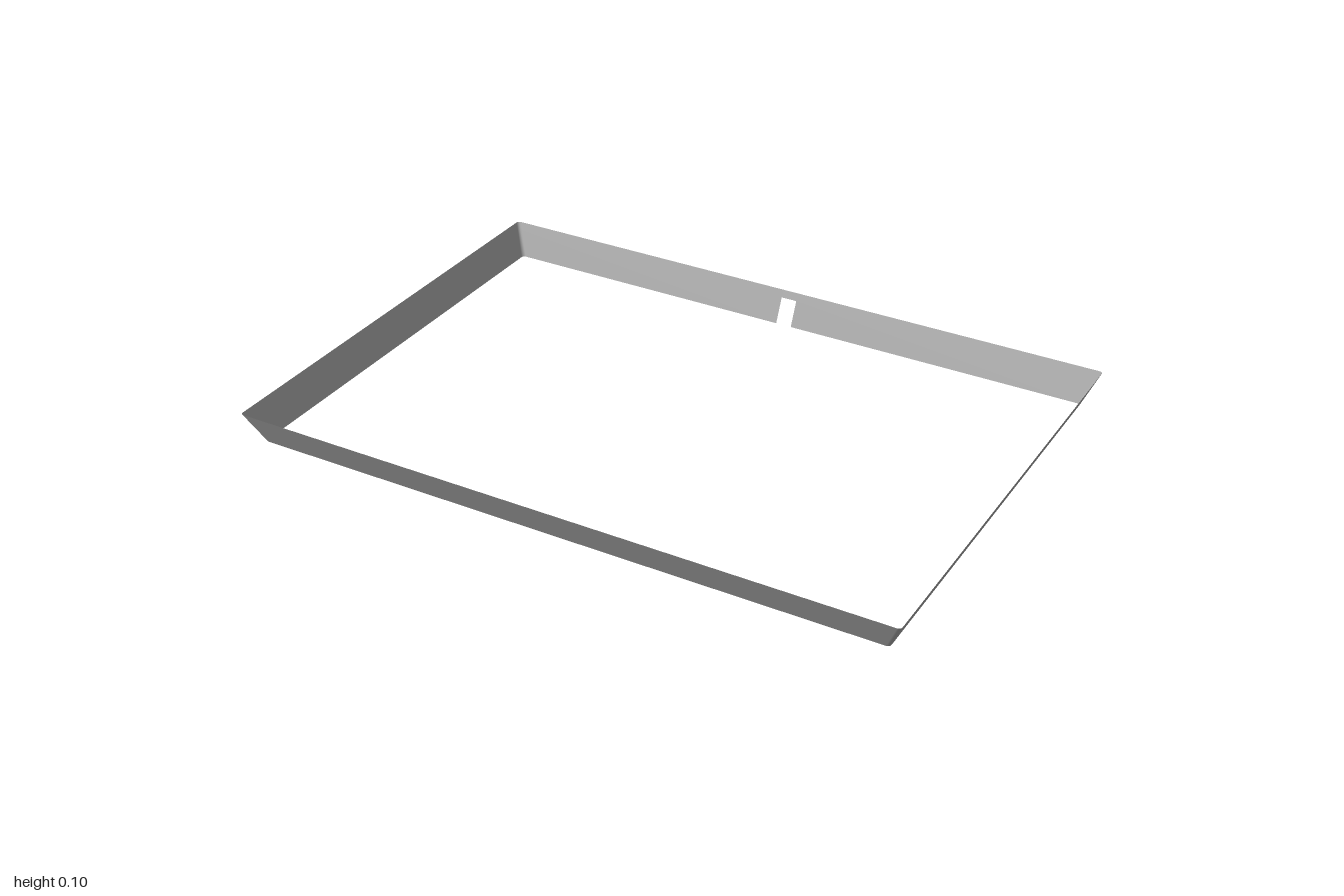
import * as THREE from 'three';

const HEIGHT = 0.097;
const NOTCH_TOP = 0.77; // fraction of the wall height
const NOTCH_X = [-0.028, 0.022];

// Closed outline of the frame at height fraction t, starting and ending at the notch
function outline(t) {
  const hx = 0.957 + 0.043 * t, hz = 0.657 + 0.043 * t, r = 0.01, steps = 3;
  const points = [[NOTCH_X[1], -hz]];
  [[1, -1], [1, 1], [-1, 1], [-1, -1]].forEach(([sx, sz], corner) => {
    for (let i = 0; i <= steps; i++) {
      const a = (corner - 1 + i / steps) * Math.PI / 2;
      points.push([sx * (hx - r) + r * Math.cos(a), sz * (hz - r) + r * Math.sin(a)]);
    }
  });
  points.push([NOTCH_X[0], -hz]);
  return points;
}

function wallGeometry() {
  const positions = [], index = [];
  const levels = [0, NOTCH_TOP, 1];
  const count = outline(0).length;
  for (const t of levels) for (const [x, z] of outline(t)) positions.push(x, t * HEIGHT, z);
  for (let row = 0; row < levels.length - 1; row++) {
    // The lower band stays open across the notch; the upper band closes above it
    const segments = row === 0 ? count - 1 : count;
    for (let i = 0; i < segments; i++) {
      const a = row * count + i, b = row * count + (i + 1) % count;
      const c = a + count, d = b + count;
      index.push(a, c, b, b, c, d);
    }
  }
  const geometry = new THREE.BufferGeometry();
  geometry.setAttribute('position', new THREE.Float32BufferAttribute(positions, 3));
  geometry.setIndex(index);
  geometry.computeVertexNormals();
  return geometry;
}

export function createModel() {
  const grey = new THREE.MeshStandardMaterial({ color: 0xa0a0a0, side: THREE.DoubleSide });
  grey.name = 'grey';

  const group = new THREE.Group();
  group.name = 'flaredFrame';
  const wall = new THREE.Mesh(wallGeometry(), grey);
  wall.name = 'slopedWall';
  group.add(wall);
  return group;
}
